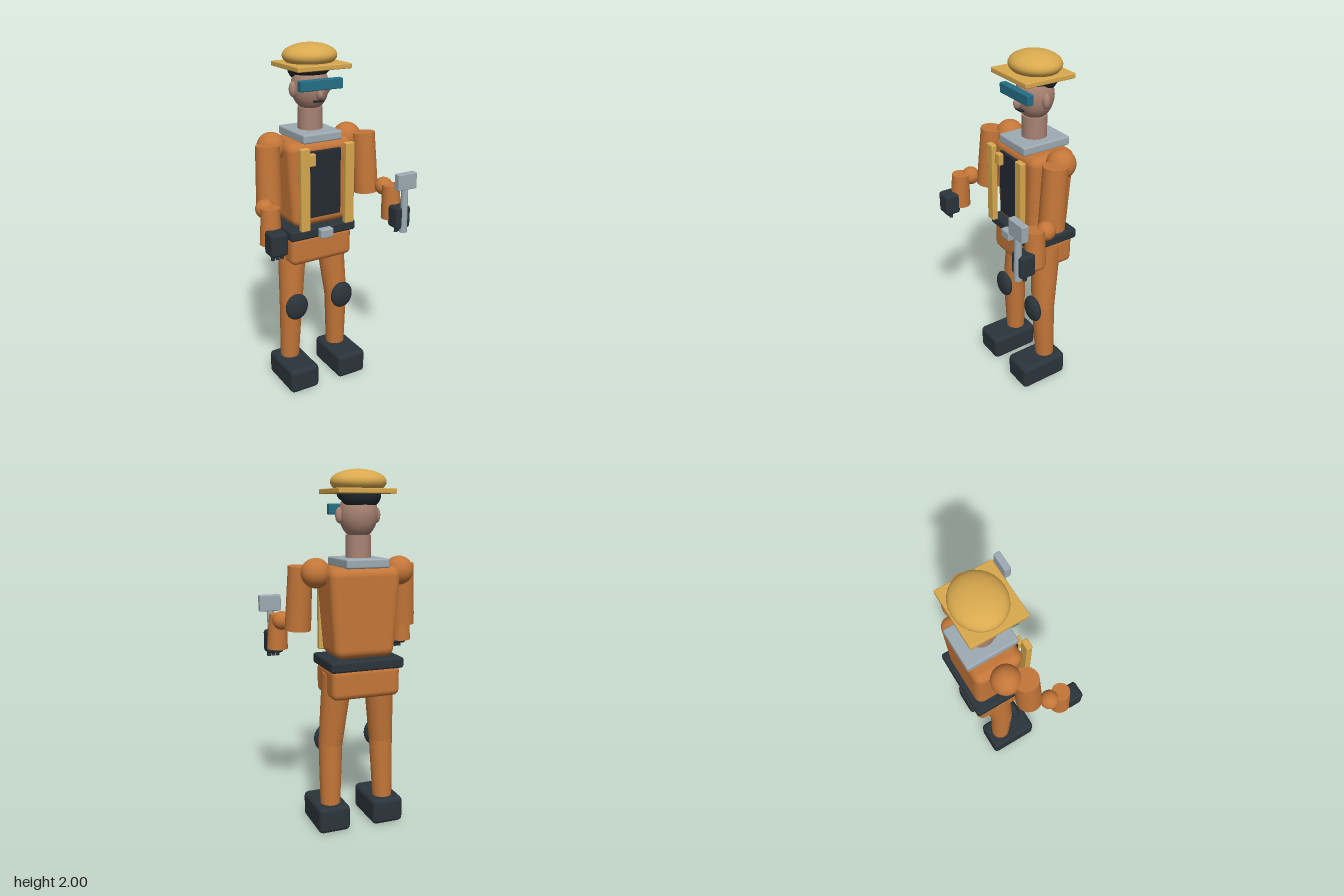
import * as THREE from 'three';
import { RoundedBoxGeometry } from 'three/addons/geometries/RoundedBoxGeometry.js';

const CX = -0.008; // body centre line
const CZ = -0.118; // body depth centre

export function createModel() {
  const model = new THREE.Group();
  model.name = 'worker';

  const mat = (name, color) => {
    const m = new THREE.MeshStandardMaterial({ color });
    m.name = name;
    return m;
  };
  const orange = mat('coverallOrange', 0xc47638);
  const yellow = mat('safetyYellow', 0xd9a94e);
  const dark = mat('darkGear', 0x2b343b);
  const panelDark = mat('panelDark', 0x252b33);
  const grey = mat('metalGrey', 0x9dabb3);
  const skin = mat('skin', 0xa98373);
  const teal = mat('gogglesTeal', 0x246f86);
  const black = mat('hairBlack', 0x20272c);

  const add = (name, geo, material, x, y, z) => {
    const m = new THREE.Mesh(geo, material);
    m.name = name;
    m.position.set(x, y, z);
    model.add(m);
    return m;
  };
  const box = (name, material, w, h, d, x, y, z, r = 0.008) =>
    add(name, new RoundedBoxGeometry(w, h, d, 2, r), material, x, y, z);
  const ball = (name, material, rx, ry, rz, x, y, z) => {
    const g = new THREE.SphereGeometry(1, 28, 18);
    g.scale(rx, ry, rz);
    return add(name, g, material, x, y, z);
  };
  // tapered limb from top point a to bottom point b
  const limb = (name, material, a, b, ra, rb, sides = 20) => {
    const A = new THREE.Vector3(...a), B = new THREE.Vector3(...b);
    const m = add(name, new THREE.CylinderGeometry(ra, rb, A.distanceTo(B), sides), material, 0, 0, 0);
    m.position.copy(A).add(B).multiplyScalar(0.5);
    m.quaternion.setFromUnitVectors(new THREE.Vector3(0, 1, 0), A.sub(B).normalize());
    return m;
  };

  // torso: rounded block narrowing to the waist
  const torsoGeo = new RoundedBoxGeometry(0.41, 0.49, 0.28, 4, 0.05);
  const p = torsoGeo.attributes.position;
  for (let i = 0; i < p.count; i++) {
    const t = p.getY(i) / 0.49 + 0.5;
    p.setX(i, p.getX(i) * (0.82 + 0.18 * t));
    p.setZ(i, p.getZ(i) * (0.92 + 0.08 * t));
  }
  torsoGeo.computeBoundingSphere();
  add('torso', torsoGeo, orange, CX, 1.25, CZ);
  box('pelvis', orange, 0.395, 0.175, 0.285, CX, 0.873, CZ, 0.035);

  // belt, chest panel, straps
  box('belt', dark, 0.42, 0.06, 0.313, CX, 0.974, CZ, 0.014);
  box('buckle', grey, 0.08, 0.054, 0.045, CX, 0.973, 0.055);
  box('chestPanel', panelDark, 0.217, 0.38, 0.05, CX, 1.257, 0.012, 0.006);
  for (const s of [-1, 1]) box('strap', yellow, 0.057, 0.467, 0.034, CX + s * 0.14, 1.247, 0.066, 0.006);
  box('strapPouch', yellow, 0.043, 0.068, 0.03, -0.096, 1.407, 0.051, 0.005);

  // collar, neck, head
  box('collar', grey, 0.243, 0.05, 0.296, CX, 1.515, CZ, 0.01);
  add('neck', new THREE.CylinderGeometry(0.069, 0.069, 0.14, 24), skin, CX, 1.59, CZ);
  ball('head', skin, 0.104, 0.133, 0.104, CX, 1.77, CZ);
  ball('hairTop', black, 0.114, 0.05, 0.108, CX, 1.868, CZ);
  ball('hairBack', black, 0.112, 0.08, 0.082, CX, 1.866, -0.152);
  for (const s of [-1, 1]) ball('ear', skin, 0.022, 0.042, 0.022, CX + s * 0.106, 1.762, CZ + 0.003);
  ball('nose', skin, 0.018, 0.03, 0.026, CX, 1.74, -0.011);
  box('mouth', black, 0.058, 0.01, 0.025, CX, 1.702, -0.024, 0.003);
  box('goggles', teal, 0.259, 0.057, 0.04, CX, 1.794, -0.002, 0.006);

  // cap
  box('capBrim', yellow, 0.325, 0.027, 0.306, CX, 1.886, -0.103, 0.005);
  ball('capDome', yellow, 0.152, 0.066, 0.137, CX, 1.934, CZ);

  for (const s of [-1, 1]) {
    const X = (d) => CX + s * d;
    // arms
    ball('shoulder', orange, 0.08, 0.08, 0.08, X(0.242), 1.463, -0.12);
    limb('upperArm', orange, [X(0.302), 1.495, -0.04], [X(0.313), 1.148, -0.016], 0.066, 0.072);
    ball('elbow', orange, 0.052, 0.052, 0.052, X(0.38), 1.19, 0.069);
    limb('forearm', orange, [X(0.381), 1.217, 0.136], [X(0.387), 1.02, 0.142], 0.05, 0.059);
    box('glove', dark, 0.098, 0.13, 0.093, X(0.39), 1.05, 0.213, 0.018);
    for (const f of [-1, 0, 1])
      limb('finger', dark, [X(0.39 + f * 0.026), 1.02, 0.222], [X(0.39 + f * 0.026), 0.962, 0.222], 0.011, 0.011, 10);

    // legs
    limb('thigh', orange, [X(0.122), 0.912, -0.122], [X(0.154), 0.5, -0.09], 0.086, 0.068);
    limb('shin', orange, [X(0.154), 0.52, -0.09], [X(0.162), 0.12, -0.104], 0.068, 0.056);
    ball('kneePad', dark, 0.072, 0.082, 0.033, X(0.154), 0.508, -0.016);
    box('boot', dark, 0.187, 0.15, 0.302, X(0.163), 0.075, -0.045, 0.026);
  }

  // hammer in the left hand
  limb('hammerHandle', grey, [0.386, 1.23, 0.25], [0.386, 0.965, 0.25], 0.019, 0.023, 16);
  box('hammerHead', grey, 0.125, 0.093, 0.042, 0.39, 1.266, 0.25, 0.006);

  return model;
}
